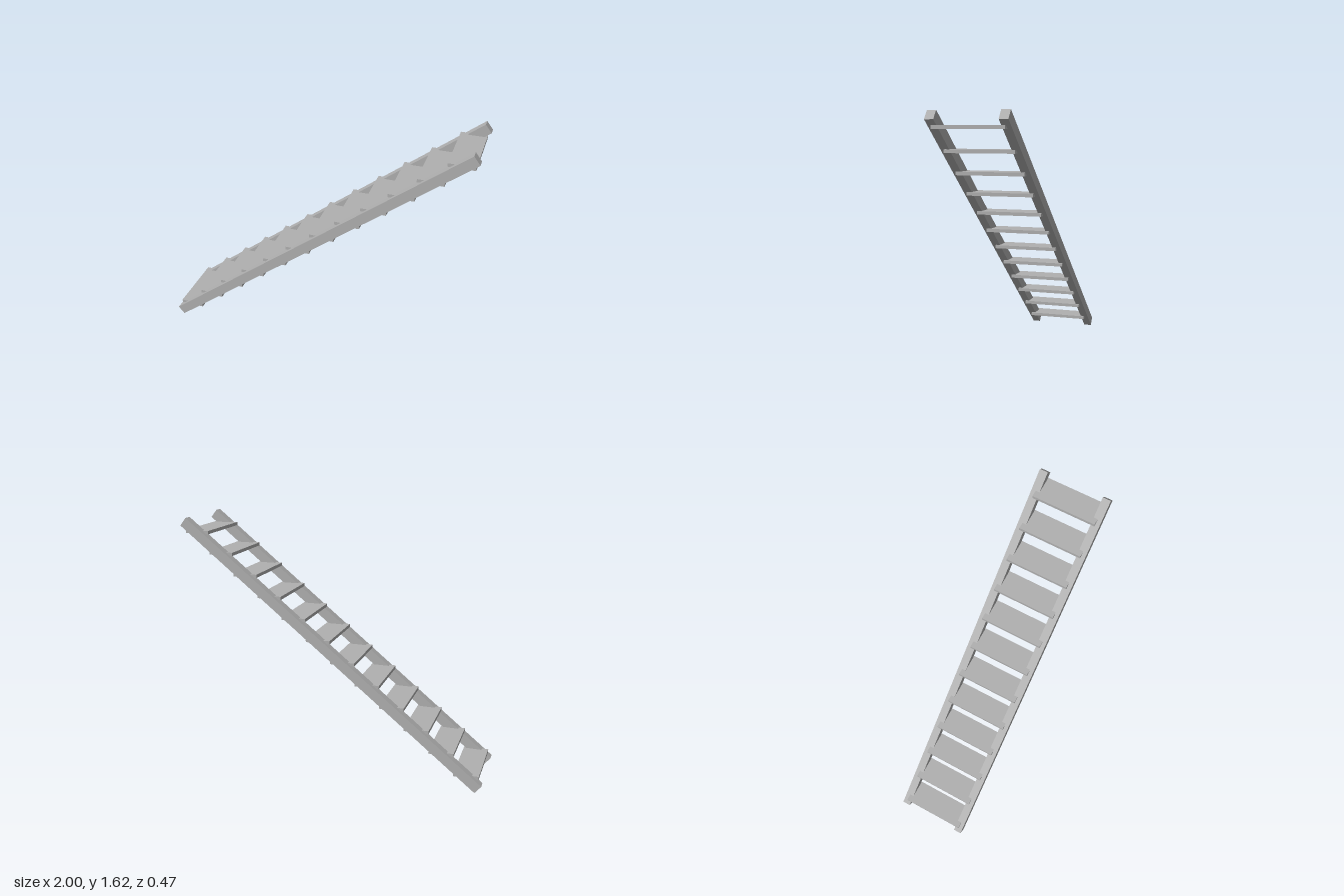
import * as THREE from 'three';

export function createModel() {
  const model = new THREE.Group();
  model.name = 'stairs';

  const grey = new THREE.MeshStandardMaterial({ color: 0xb0b0b0 });
  grey.name = 'plain grey';

  const midY = 0.81;
  const slope = 0.8; // rise over run
  const angle = Math.atan(slope);

  function addBox(name, size, position) {
    const mesh = new THREE.Mesh(new THREE.BoxGeometry(...size), grey);
    mesh.name = name;
    mesh.position.set(...position);
    model.add(mesh);
    return mesh;
  }

  // Two sloping side rails
  for (const side of [1, -1]) {
    const name = side > 0 ? 'frontStringer' : 'backStringer';
    addBox(name, [2.51, 0.064, 0.053], [0, midY, side * 0.2085]).rotation.z = angle;
  }

  // Level treads let into the rails
  const count = 12;
  const run = 0.1633;
  for (let i = 0; i < count; i++) {
    const x = (i - (count - 1) / 2) * run;
    addBox(`tread${i + 1}`, [0.16, 0.021, 0.416], [x, midY + x * slope, 0]);
  }

  return model;
}
